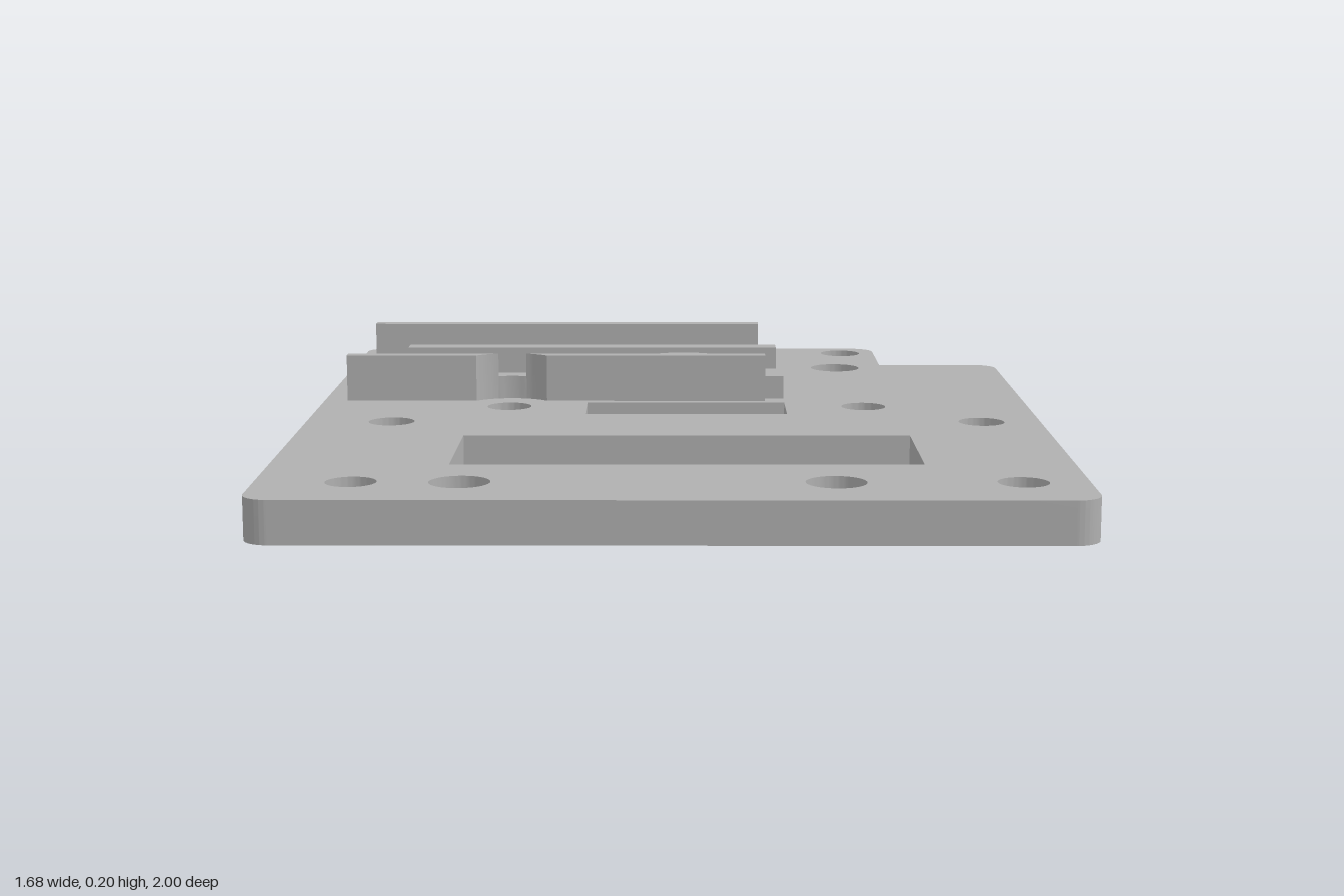
import * as THREE from 'three';
import { toCreasedNormals } from 'three/addons/utils/BufferGeometryUtils.js';

const T = 0.09; // plate thickness
const LOW = 0.145; // height of boss and ledges
const TALL = 0.2; // height of guide walls

// Outlines are drawn as [x, -z] and extruded upward.
function slab(name, shape, y0, y1, material) {
  let g = new THREE.ExtrudeGeometry(shape, { depth: y1 - y0, bevelEnabled: false, curveSegments: 32 });
  g.rotateX(-Math.PI / 2);
  g.translate(0, y0, 0);
  g = toCreasedNormals(g, 0.5);
  const mesh = new THREE.Mesh(g, material);
  mesh.name = name;
  return mesh;
}

function circle(x, z, r, Type = THREE.Path) {
  const p = new Type();
  p.absarc(x, -z, r, 0, Math.PI * 2, false);
  return p;
}

const polygon = (points, Type = THREE.Shape) => new Type(points.map(([x, y]) => new THREE.Vector2(x, y)));

const rect = (x0, x1, z0, z1, Type = THREE.Shape) =>
  polygon([[x0, -z1], [x1, -z1], [x1, -z0], [x0, -z0]], Type);

// Plate outline with rounded outer corners and a sharp notch at the back
function plateOutline() {
  const s = new THREE.Shape(), r = 0.055, q = Math.PI / 2;
  const x = 0.84, nx = 0.54, ny = 0.71;
  s.absarc(-x + r, -1 + r, r, 2 * q, 3 * q, false);
  s.absarc(x - r, -1 + r, r, 3 * q, 4 * q, false);
  s.absarc(x - r, ny - r, r, 0, q, false);
  s.lineTo(nx, ny);
  s.absarc(nx - r, 1 - r, r, 0, q, false);
  s.absarc(-x + r, 1 - r, r, q, 2 * q, false);
  s.closePath();
  return s;
}

export function createModel() {
  const group = new THREE.Group();
  group.name = 'mountingPlate';
  const grey = new THREE.MeshStandardMaterial({ color: 0xb0b0b0 });
  grey.name = 'grey';
  const add = (...args) => group.add(slab(...args, grey));

  // Base plate with screw holes, windows and the recess under the boss
  const plate = plateOutline();
  const small = [[-0.39, -0.915], [0.45, -0.915], [-0.39, -0.065], [0.45, -0.065],
    [-0.645, 0.14], [0.705, 0.14], [-0.645, 0.825], [0.705, 0.825]];
  const large = [[-0.645, -0.825], [0.42, -0.66], [-0.427, 0.825], [0.33, 0.825]];
  for (const [x, z] of small) plate.holes.push(circle(x, z, 0.052));
  for (const [x, z] of large) plate.holes.push(circle(x, z, 0.062));
  plate.holes.push(circle(0.025, -0.437, 0.1));
  plate.holes.push(rect(-0.7, -0.14, -0.64, -0.235, THREE.Path));
  plate.holes.push(rect(-0.205, 0.265, -0.12, 0.04, THREE.Path));
  plate.holes.push(rect(-0.465, 0.525, 0.315, 0.645, THREE.Path));
  add('plate', plate, 0, T);

  // Ring boss
  const boss = circle(0.025, -0.437, 0.125, THREE.Shape);
  boss.holes.push(circle(0.025, -0.437, 0.062));
  add('boss', boss, T, LOW);

  // Back guide: tall wall and low ledge
  add('backWall', rect(-0.785, 0.22, -0.735, -0.7), T, TALL);
  add('backLedge', rect(-0.695, 0.265, -0.7, -0.645), T, LOW);

  // Front guide, cut by a round clearance about the nearby screw hole
  const cx = -0.39, cy = 0.065, r = 0.115, front = 0.143, mid = 0.175, back = 0.23;
  const a1 = Math.asin((front - cy) / r), a2 = Math.asin((mid - cy) / r);
  const arc = (from, to, n = 10) => Array.from({ length: n + 1 }, (_, i) => {
    const a = from + (to - from) * i / n;
    return [cx + r * Math.cos(a), cy + r * Math.sin(a)];
  });
  add('frontWallLeft', polygon([[0.22, front], [0.22, mid], ...arc(a2, a1)]), T, TALL);
  add('frontWallRight', polygon([[-0.785, mid], [-0.785, front], ...arc(Math.PI - a1, Math.PI - a2)]), T, TALL);
  add('frontLedge', polygon([[-0.695, mid], ...arc(Math.PI - a2, a2),
    [0.265, mid], [0.265, back], [-0.695, back]]), T, LOW);

  return group;
}
